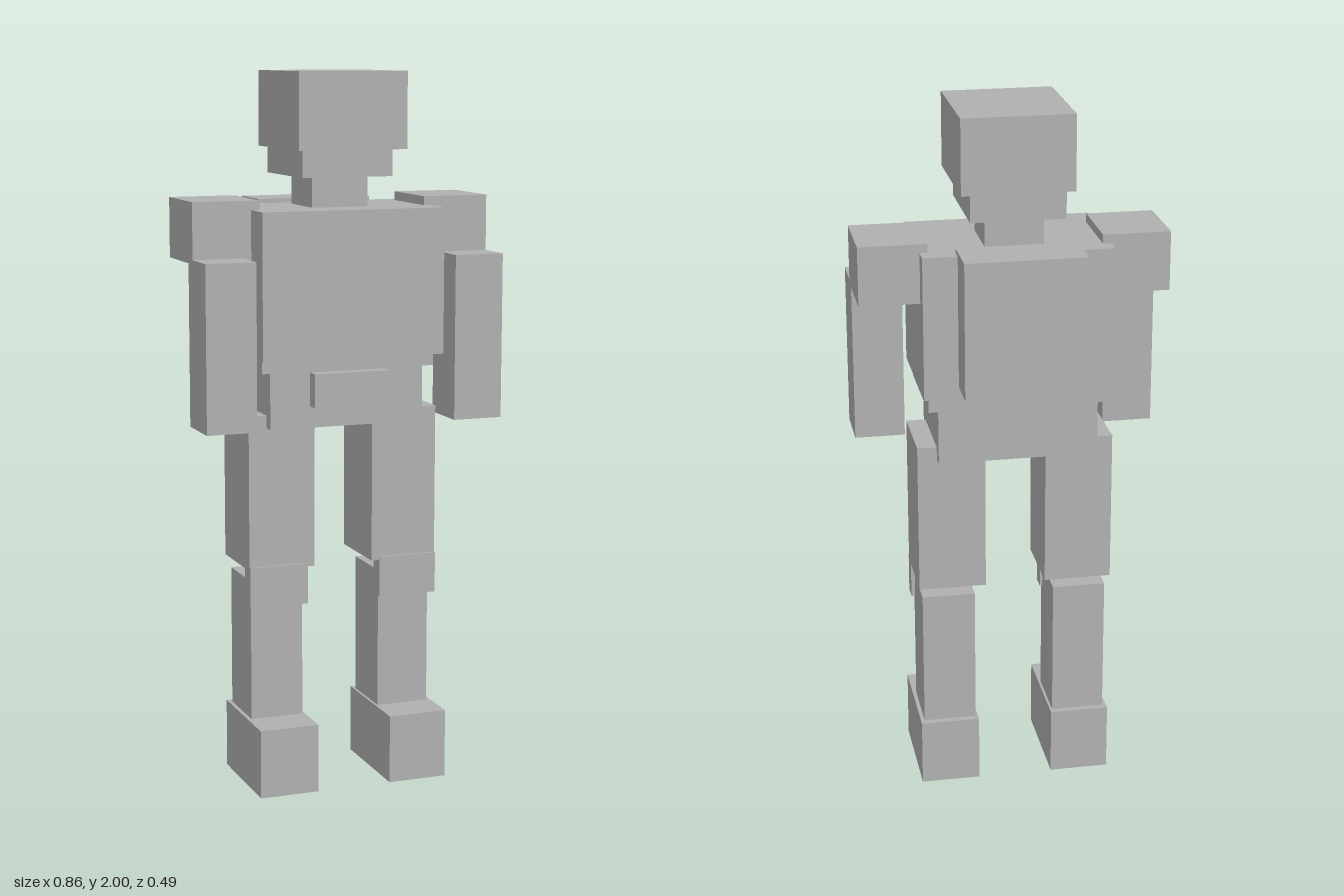
import * as THREE from 'three';

export function createModel() {
  const model = new THREE.Group();
  model.name = 'blockRobot';
  const grey = new THREE.MeshStandardMaterial({ color: 0xb0b0b0 });
  grey.name = 'plainGrey';

  // Box given by its [min, max] range on each axis
  function block(name, [x0, x1], [y0, y1], [z0, z1], parent = model) {
    const mesh = new THREE.Mesh(new THREE.BoxGeometry(x1 - x0, y1 - y0, z1 - z0), grey);
    mesh.position.set((x0 + x1) / 2, (y0 + y1) / 2, (z0 + z1) / 2);
    mesh.name = name;
    parent.add(mesh);
  }

  // Head and neck
  block('helmet', [-0.157, 0.155], [1.79, 2], [-0.125, 0.213]);
  block('jaw', [-0.132, 0.13], [1.715, 1.79], [-0.122, 0.168]);
  block('neck', [-0.083, 0.081], [1.63, 1.715], [-0.06, 0.108]);

  // Trunk
  block('chest', [-0.265, 0.263], [1.225, 1.63], [-0.137, 0.223]);
  block('backpack', [-0.168, 0.167], [1.258, 1.642], [-0.246, -0.102]);
  block('waist', [-0.254, 0.251], [1.188, 1.225], [-0.134, 0.18]);
  block('pelvis', [-0.226, 0.223], [1.03, 1.188], [-0.122, 0.167]);
  block('buckle', [-0.11, 0.107], [1.09, 1.184], [0.16, 0.205]);

  // Limb parts: x ranges run outwards and are mirrored for the other side
  const limbs = {
    Arm: [
      ['shoulder', [0.241, 0.431], [1.488, 1.655], [-0.089, 0.128]],
      ['forearm', [0.289, 0.431], [1.04, 1.5], [0.09, 0.243]],
    ],
    Leg: [
      ['thigh', [0.086, 0.278], [0.63, 1.065], [-0.085, 0.135]],
      ['kneePad', [0.108, 0.278], [0.525, 0.64], [0.095, 0.142]],
      ['shin', [0.115, 0.267], [0.195, 0.595], [-0.065, 0.112]],
      ['foot', [0.108, 0.278], [0, 0.195], [-0.085, 0.225]],
    ],
  };
  for (const [side, s] of [['left', 1], ['right', -1]]) {
    for (const [limb, parts] of Object.entries(limbs)) {
      const group = new THREE.Group();
      group.name = side + limb;
      model.add(group);
      for (const [name, [a, b], y, z] of parts) {
        block(name, s > 0 ? [a, b] : [-b, -a], y, z, group);
      }
    }
  }
  return model;
}
